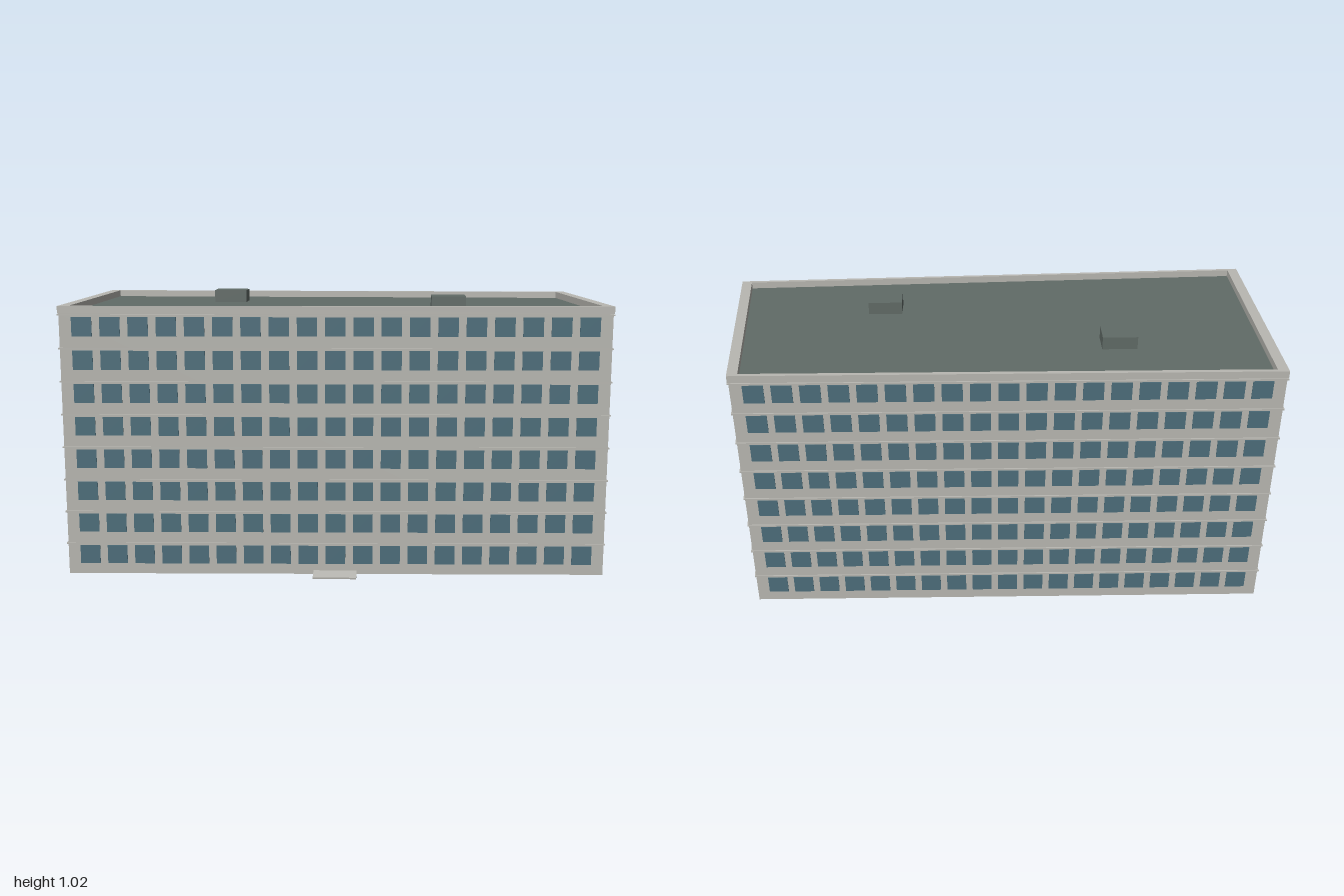
import * as THREE from 'three';
import { mergeGeometries } from 'three/addons/utils/BufferGeometryUtils.js';

const mat = (name, color) => Object.assign(new THREE.MeshStandardMaterial({ color }), { name });

// Footprint corners (x, z): front left, front right, back right, back left
const CORNERS = [[-0.99, 0.408], [0.992, 0.348], [0.928, -0.415], [-0.995, -0.441]];
const FLOORS = 8, FLOOR_STEP = 0.121, ROOF_Y = 0.97, TOP_Y = 0.995;

// Footprint points, scaled about the centre, ready for an upward extrusion
const outline = (sx, sz) => CORNERS.map(([x, z]) => new THREE.Vector2(x * sx, -z * sz));

// Horizontal slab of the footprint between two heights, optionally a ring
function slab(y0, y1, sx, sz, hole) {
  const shape = new THREE.Shape(outline(sx, sz));
  if (hole) shape.holes.push(new THREE.Path(outline(...hole)));
  return new THREE.ExtrudeGeometry(shape, { depth: y1 - y0, bevelEnabled: false })
    .rotateX(-Math.PI / 2).translate(0, y0, 0);
}

export function createModel() {
  const group = new THREE.Group();
  const wall = mat('concrete', 0xb9b8b2);
  const glass = mat('window glass', 0x4d6e7b);
  const roofing = mat('roofing', 0x616b67);

  const add = (name, geometry, material) => {
    const mesh = new THREE.Mesh(geometry, material);
    mesh.name = name;
    group.add(mesh);
    return mesh;
  };

  // Main block, roof edge and roof surface
  add('walls', slab(0, ROOF_Y - 0.002, 1, 1), wall);
  add('parapet', slab(ROOF_Y - 0.002, TOP_Y, 1.004, 1.006, [0.965, 0.97]), wall);
  add('roof', slab(ROOF_Y - 0.004, ROOF_Y, 0.966, 0.971), roofing);

  // Thin ledge above each row of windows
  const ledges = [];
  for (let f = 0; f < FLOORS; f++) {
    const y = 0.114 + f * FLOOR_STEP;
    ledges.push(slab(y, y + 0.005, 1.005, 1.011, [0.99, 0.99]));
  }
  add('floorLedges', mergeGeometries(ledges), wall);

  // Window grids, one per side of the footprint
  const facades = [['front', 19], ['right', 7], ['back', 19], ['left', 8]];
  facades.forEach(([side, columns], i) => {
    const [x0, z0] = CORNERS[i], [x1, z1] = CORNERS[(i + 1) % 4];
    const dx = x1 - x0, dz = z1 - z0, length = Math.hypot(dx, dz);
    const margin = 0.081 / length;
    const panes = [];
    for (let c = 0; c < columns; c++) {
      const t = margin + (1 - 2 * margin) * c / (columns - 1);
      for (let f = 0; f < FLOORS; f++) {
        panes.push(new THREE.BoxGeometry(0.073, 0.069, 0.005)
          .rotateY(Math.atan2(-dz, dx))
          .translate(x0 + dx * t, 0.074 + f * FLOOR_STEP, z0 + dz * t));
      }
    }
    add(side + 'Windows', mergeGeometries(panes), glass);
  });

  // Roof units
  for (const [x, z] of [[-0.442, -0.173], [0.415, 0.137]]) {
    const height = 1.017 - ROOF_Y;
    add('roofUnit', new THREE.BoxGeometry(0.127, height, 0.09), roofing)
      .position.set(x, ROOF_Y + height / 2, z);
  }

  // Sloping entrance slab
  const ramp = add('entranceRamp', new THREE.BoxGeometry(0.16, 0.006, 0.06), wall);
  ramp.position.set(0, 0.009, 0.415);
  ramp.rotation.x = 0.13;

  return group;
}
